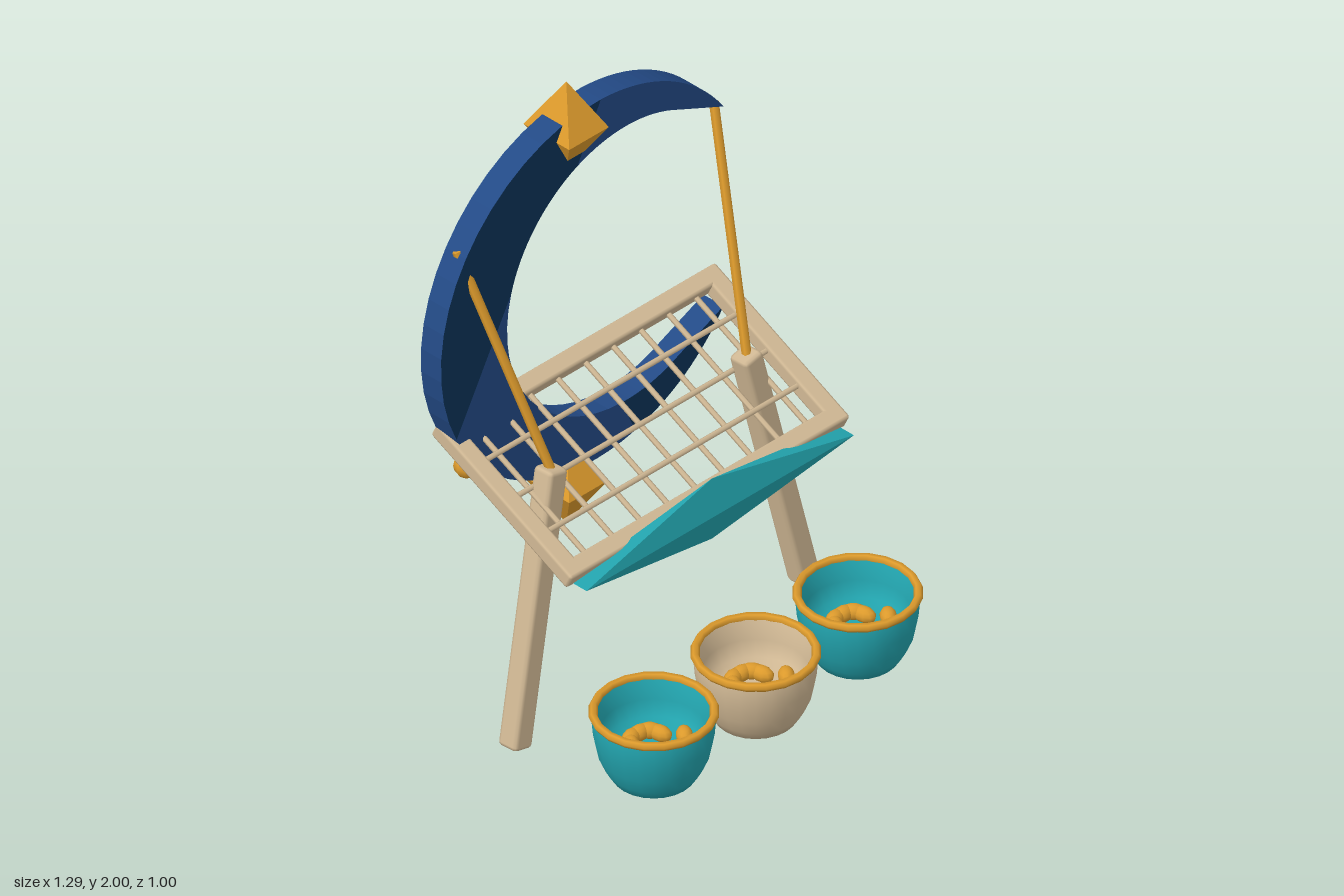
import * as THREE from 'three';
import { RoundedBoxGeometry } from 'three/addons/geometries/RoundedBoxGeometry.js';

const mat = (name, color) => Object.assign(new THREE.MeshStandardMaterial({ color }), { name });
const V = (x, y, z) => new THREE.Vector3(x, y, z);

export function createModel() {
  const root = new THREE.Group();
  root.name = 'moonStand';
  const wood = mat('paleWood', 0xd0b894);
  const gold = mat('gold', 0xdc9a2c);
  const teal = mat('teal', 0x22a3ad);
  const blue = mat('blue', 0x234a86);
  const navy = mat('navy', 0x0c3358);

  const add = (name, geo, material, parent = root) => {
    const m = new THREE.Mesh(geo, material);
    m.name = name;
    parent.add(m);
    return m;
  };
  // Aligns a mesh whose length runs along y between two points
  const span = (m, a, b) => {
    m.position.copy(a).add(b).multiplyScalar(0.5);
    m.quaternion.setFromUnitVectors(V(0, 1, 0), b.clone().sub(a).normalize());
    return m;
  };
  // Double pyramid with a rectangular waist
  const bipyramid = (name, material, hx, hy, hz, x, y, z) => {
    const g = new THREE.OctahedronGeometry(1).rotateY(Math.PI / 4)
      .scale(hx * Math.SQRT2, hy, hz * Math.SQRT2);
    add(name, g, material).position.set(x, y, z);
  };

  // Crescent, in sections: outer angles, inner angles (degrees), face colour
  const moon = new THREE.Group();
  moon.name = 'crescent';
  moon.position.set(0, 1.257, -0.447);
  root.add(moon);
  const sections = [
    [34, 88, 64, 114, blue], [88, 206, 114, 165, navy],
    [206, 285, 165, 268, blue], [285, 326, 268, 296, navy],
  ];
  const arc = (cx, r, from, to) => Array.from({ length: 17 }, (_, i) => {
    const t = THREE.MathUtils.degToRad(from + (to - from) * i / 16);
    return new THREE.Vector2(cx + r * Math.cos(t), r * Math.sin(t));
  });
  for (const [o0, o1, i0, i1, face] of sections) {
    const shape = new THREE.Shape([...arc(0, 0.647, o0, o1), ...arc(0.127, 0.497, i1, i0)]);
    const g = new THREE.ExtrudeGeometry(shape, { depth: 0.084, bevelEnabled: false });
    add('crescentSection', g, [face, blue], moon);
  }

  // Jewels on the crescent
  bipyramid('topJewel', gold, 0.083, 0.16, 0.095, -0.08, 1.84, -0.405);
  bipyramid('bottomJewel', gold, 0.083, 0.16, 0.095, -0.08, 0.56, -0.405);
  add('sideBead', new THREE.SphereGeometry(0.042, 10, 8), gold).position.set(-0.49, 0.815, -0.41);

  // Legs and stay rods, mirrored
  for (const s of [-1, 1]) {
    const foot = V(s * 0.607, 0.01, -0.095), top = V(s * 0.407, 0.9, -0.142);
    const leg = new RoundedBoxGeometry(0.076, foot.distanceTo(top), 0.076, 1, 0.014);
    span(add('leg', leg, wood), foot, top);
    const a = V(s * 0.41, 0.89, -0.14), b = V(s * 0.538, 1.615, -0.405);
    span(add('stayRod', new THREE.CylinderGeometry(0.015, 0.015, a.distanceTo(b), 6), gold), a, b);
  }

  // Tilted tray: frame bars and lattice
  const tray = new THREE.Group();
  tray.name = 'tray';
  tray.position.set(0, 0.828, -0.175);
  tray.rotation.x = 0.455;
  root.add(tray);
  const bar = (name, w, d, x, z, h = 0.056) =>
    add(name, new RoundedBoxGeometry(w, h, d, 1, 0.01), wood, tray).position.set(x, 0, z);
  for (const s of [-1, 1]) {
    bar('frameSide', 0.064, 0.63, s * 0.553, 0);
    bar('frameRail', 1.17, 0.06, 0, s * 0.285);
  }
  for (let k = -4; k <= 4; k++) {
    const m = add('latticeSlat', new THREE.CylinderGeometry(0.009, 0.009, 0.54, 6), wood, tray);
    m.rotation.x = Math.PI / 2;
    m.position.x = k * 0.116;
  }
  for (const z of [-0.146, 0, 0.143]) {
    const m = add('latticeCross', new THREE.CylinderGeometry(0.009, 0.009, 1.06, 6), wood, tray);
    m.rotation.z = Math.PI / 2;
    m.position.set(0, 0.01, z);
  }

  // Faceted panel on the front rail
  bipyramid('frontPanel', teal, 0.56, 0.109, 0.034, 0, 0.676, 0.123);

  // Bowls with rims and morsels
  const profile = [
    [0, 0.02], [0.125, 0.02], [0.147, 0.055], [0.168, 0.105], [0.18, 0.165], [0.187, 0.245],
    [0.168, 0.245], [0.158, 0.18], [0.14, 0.13], [0.1, 0.11], [0, 0.105],
  ].map(([x, y]) => new THREE.Vector2(x, y));
  // x, z, heading of each morsel
  const morsels = [
    [-0.068, 0.01, 1.5], [-0.065, -0.03, 0.9], [-0.04, -0.055, 0.3], [-0.005, -0.055, 0],
    [0.025, -0.042, -0.8], [0.037, -0.01, -1.4], [0.08, 0.048, 0.9], [0.008, 0.09, 0.1],
  ];
  for (const i of [-1, 0, 1]) {
    const bowl = new THREE.Group();
    bowl.name = 'bowl';
    bowl.position.set(i * 0.427, 0, 0.305);
    root.add(bowl);
    add('bowlBody', new THREE.LatheGeometry(profile, 24), i ? teal : wood, bowl);
    const rim = add('bowlRim', new THREE.TorusGeometry(0.181, 0.014, 6, 20), gold, bowl);
    rim.rotation.x = Math.PI / 2;
    rim.position.y = 0.247;
    for (const [x, z, turn] of morsels) {
      const g = new THREE.SphereGeometry(1, 10, 7).scale(0.04, 0.026, 0.026);
      const m = add('morsel', g, gold, bowl);
      m.position.set(x, 0.145, z);
      m.rotation.y = turn;
    }
  }
  return root;
}
